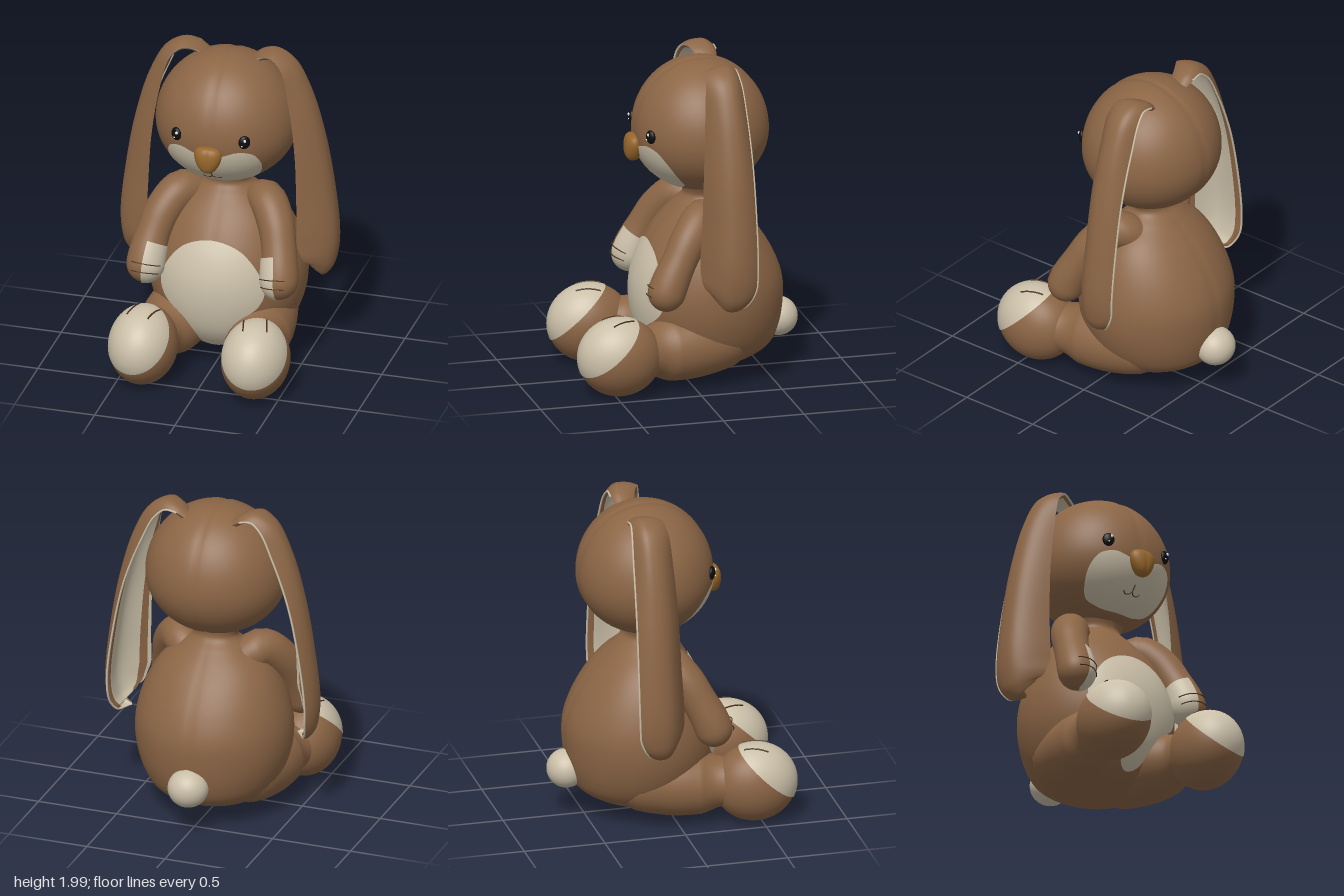
import * as THREE from 'three';
import { mergeVertices } from 'three/addons/utils/BufferGeometryUtils.js';

const V = (x, y, z) => new THREE.Vector3(x, y, z);
const spline = (pts) => new THREE.CatmullRomCurve3(pts.map((p) => V(...p)));

// Smooth surface from a rule fn(u, v) with u, v in 0..1
function grid(fn, nu, nv, flip = false) {
  const pos = [], idx = [];
  for (let i = 0; i <= nu; i++)
    for (let j = 0; j <= nv; j++) pos.push(...fn(i / nu, j / nv).toArray());
  for (let i = 0; i < nu; i++)
    for (let j = 0; j < nv; j++) {
      const a = i * (nv + 1) + j, b = a + nv + 1;
      if (flip) idx.push(a, a + 1, b, b, a + 1, b + 1);
      else idx.push(a, b, a + 1, b, b + 1, a + 1);
    }
  let geo = new THREE.BufferGeometry();
  geo.setAttribute('position', new THREE.Float32BufferAttribute(pos, 3));
  geo.setIndex(idx);
  geo = mergeVertices(geo, 1e-5);
  geo.computeVertexNormals();
  return geo;
}

function mirrored(geo) {
  const g = geo.clone().scale(-1, 1, 1), ix = g.index;
  for (let i = 0; i < ix.count; i += 3) {
    const a = ix.getX(i);
    ix.setX(i, ix.getX(i + 1));
    ix.setX(i + 1, a);
  }
  return g;
}

const ball = (rx, ry, rz, x, y, z, w = 32, h = 24) =>
  new THREE.SphereGeometry(1, w, h).scale(rx, ry, rz).translate(x, y, z);
const cord = (pts, r = 0.0035, n = 16) =>
  new THREE.TubeGeometry(new THREE.CatmullRomCurve3(pts), n, r, 6);
const seam = (x) => 1 - 0.014 * Math.exp(-((x / 0.022) ** 2));

// Front patch: half outline from top to bottom, mirrored and laid on a surface
function patch(half, cy, surfaceZ) {
  const pts = [...half, ...half.slice(1, -1).reverse().map(([x, y]) => [-x, y])];
  const c = new THREE.CatmullRomCurve3(pts.map(([x, y]) => V(x, y, 0)), true);
  return grid((u, v) => {
    const p = c.getPoint(v % 1), x = p.x * u, y = cy + (p.y - cy) * u;
    return V(x, y, surfaceZ(x, y) + 0.007);
  }, 24, 72, true);
}

// Tapered limb: points are [x, y, z, radius]; cap is the share rounded off at the end
function limb(points, cap) {
  const path = spline(points.map((p) => p.slice(0, 3)));
  const rad = spline(points.map((p) => [p[3], 0, 0]));
  return (t, a, grow = 0) => {
    const T = path.getTangent(t), N = V(1, 0, 0).addScaledVector(T, -T.x).normalize();
    const B = T.clone().cross(N), k = cap ? Math.max(0, (t - 1 + cap) / cap) : 0;
    const r = (rad.getPoint(t).x + grow) * Math.sqrt(Math.max(0, 1 - k * k));
    return path.getPoint(t).addScaledVector(T, grow * k)
      .addScaledVector(N, Math.cos(a) * r).addScaledVector(B, Math.sin(a) * r);
  };
}
const limbSkin = (f, t0 = 0, a0 = 0, a1 = Math.PI * 2, grow = 0) =>
  grid((u, v) => f(t0 + (1 - t0) * (1 - (1 - u) ** 2), a0 + (a1 - a0) * v, grow), 40, 36, true);

// Body sections: y, half width, front z, back z
const SECTIONS = [
  [0.07, 0.01, -0.15, -0.17], [0.085, 0.18, 0.0, -0.32], [0.13, 0.29, 0.12, -0.45],
  [0.2, 0.37, 0.2, -0.55], [0.3, 0.43, 0.26, -0.595], [0.45, 0.473, 0.295, -0.62],
  [0.6, 0.477, 0.295, -0.617], [0.75, 0.445, 0.255, -0.565], [0.9, 0.38, 0.175, -0.475],
  [1.0, 0.305, 0.1, -0.39], [1.08, 0.205, 0.03, -0.31], [1.14, 0.14, -0.02, -0.25],
  [1.19, 0.155, -0.01, -0.25], [1.26, 0.2, 0.03, -0.28]];
const bodyA = spline(SECTIONS.map(([y, r, f]) => [r, y, f]));
const bodyB = spline(SECTIONS.map(([y, , , b]) => [0, y, b]));
function bodyAt(t) {
  const a = bodyA.getPoint(t), b = bodyB.getPoint(t).z;
  return { y: a.y, rx: a.x, rz: (a.z - b) / 2, cz: (a.z + b) / 2 };
}
function bodyZ(x, y) {
  let lo = 0, hi = 1;
  for (let i = 0; i < 30; i++) {
    const m = (lo + hi) / 2;
    if (bodyAt(m).y < y) lo = m; else hi = m;
  }
  const s = bodyAt(lo);
  return s.cz + s.rz * Math.sqrt(Math.max(0, 1 - (x / s.rx) ** 2));
}

// Egg-shaped head, fuller below its centre
const HEAD = { y: 1.54, z: -0.125, rx: 0.431, up: 0.44, down: 0.372, rz: 0.412 };
const headRy = (dy) => (dy > 0 ? HEAD.up : HEAD.down);
const headZ = (x, y) => HEAD.z + HEAD.rz *
  Math.sqrt(Math.max(0, 1 - (x / HEAD.rx) ** 2 - ((y - HEAD.y) / headRy(y - HEAD.y)) ** 2));

// Ear stations: crest x, crest y, front z, back z, front edge drop, back edge drop
const EAR = [
  [0.13, 1.93, -0.15, -0.27, 0.02, 0.02], [0.2, 1.98, -0.13, -0.28, 0.02, 0.03],
  [0.29, 2.0, -0.09, -0.28, 0.025, 0.045], [0.4, 1.94, -0.065, -0.29, 0.06, 0.07],
  [0.5, 1.76, -0.05, -0.3, 0.11, 0.08], [0.59, 1.45, -0.03, -0.31, 0.15, 0.06],
  [0.65, 1.1, -0.015, -0.315, 0.19, 0.05], [0.677, 0.83, 0, -0.315, 0.21, 0.045],
  [0.67, 0.7, -0.005, -0.31, 0.18, 0.04], [0.645, 0.605, -0.04, -0.275, 0.13, 0.03],
  [0.595, 0.552, -0.08, -0.23, 0.07, 0.02], [0.535, 0.575, -0.14, -0.17, 0.01, 0.01]];
const earPath = spline(EAR.map((e) => [e[0], e[1], 0]));
const earZ = spline(EAR.map((e) => [e[2], e[3], 0]));
const earDrop = spline(EAR.map((e) => [e[4], e[5], 0]));
function earPoint(t, v, depth) {
  const p = earPath.getPoint(t), T = earPath.getTangent(t), z = earZ.getPoint(t), d = earDrop.getPoint(t);
  let off = v < 0.6 ? -d.x * ((0.6 - v) / 0.6) ** 2.5 : -d.y * ((v - 0.6) / 0.4) ** 2.2;
  off -= depth * (1 - (2 * v - 1) ** 4) * Math.min(1, (1 - t) * 8);
  return V(p.x - T.y * off, p.y + T.x * off, z.x + (z.y - z.x) * v);
}
const earSkin = (depth, v0, v1, n, flip) =>
  grid((u, v) => earPoint(u, v0 + (v1 - v0) * v, depth), 80, n, flip);

export function createModel() {
  const model = new THREE.Group();
  model.name = 'plushRabbit';
  const mat = (name, color) => new THREE.MeshStandardMaterial({ name, color });
  const fur = mat('brown fur', 0x8b6545), cream = mat('cream plush', 0xcabfa8);
  const noseMat = mat('ochre nose', 0x96662a), thread = mat('dark thread', 0x4a2f1a);
  const black = mat('black eye', 0x0d0d0d), white = mat('white glint', 0xf2f2f2);
  const add = (name, geo, m) => {
    const mesh = new THREE.Mesh(geo, m);
    mesh.name = name;
    model.add(mesh);
  };
  const pair = (name, geo, m) => {
    add(name + 'Left', geo, m);
    add(name + 'Right', mirrored(geo), m);
  };

  // Body, belly and tail
  add('body', grid((u, v) => {
    const s = bodyAt(u), a = v * Math.PI * 2, x = s.rx * Math.sin(a);
    return V(x, s.y, s.cz + s.rz * Math.cos(a) * seam(x));
  }, 90, 96, true), fur);
  add('bellyPatch', patch([[0, 0.865], [0.17, 0.815], [0.28, 0.69], [0.325, 0.56], [0.29, 0.46],
    [0.18, 0.37], [0.1, 0.26], [0.065, 0.165], [0, 0.135]], 0.5, bodyZ), cream);
  add('tail', ball(0.124, 0.118, 0.118, 0, 0.31, -0.61), cream);

  // Head with muzzle, nose, mouth and eyes
  add('head', grid((u, v) => {
    const th = u * Math.PI, a = v * Math.PI * 2, c = Math.cos(th);
    const x = HEAD.rx * Math.sin(th) * Math.sin(a), k = seam(x);
    return V(x, HEAD.y + headRy(c) * c * k, HEAD.z + HEAD.rz * Math.sin(th) * Math.cos(a) * k);
  }, 64, 96), fur);
  add('muzzlePatch', patch([[0, 1.45], [0.08, 1.475], [0.18, 1.503], [0.26, 1.475], [0.29, 1.38],
    [0.24, 1.265], [0.13, 1.215], [0, 1.205]], 1.35, headZ), cream);
  add('nose', grid((u, v) => {
    const th = u * Math.PI, a = v * Math.PI * 2, y = Math.cos(th), s = Math.sin(th) ** 0.65;
    const x = s * Math.sin(a) * (1 + 0.3 * y);
    return V(x * 0.08, 1.45 + y * 0.083, 0.292 + 0.055 * s * Math.cos(a)
      * (1 - 0.12 * Math.exp(-((x / 0.12) ** 2))));
  }, 24, 40), noseMat);
  const onHead = (x, y) => V(x, y, headZ(x, y) + 0.008);
  add('mouthLine', cord([onHead(0, 1.335), onHead(0, 1.315), onHead(0, 1.295)]), thread);
  pair('mouthCurve', cord([onHead(0, 1.297), onHead(0.02, 1.284), onHead(0.045, 1.285),
    onHead(0.058, 1.298)]), thread);
  const eyeZ = headZ(0.21, 1.57);
  pair('eye', ball(0.036, 0.042, 0.02, 0, 0, 0).rotateY(0.5).translate(0.212, 1.57, eyeZ + 0.004), black);
  for (const s of [1, -1]) {
    add('eyeGlint', ball(0.009, 0.01, 0.006, s * 0.212 + 0.008, 1.587, eyeZ + 0.026 - s * 0.003, 12, 8), white);
    add('eyeGlintSmall', ball(0.005, 0.005, 0.006, s * 0.212 - 0.008, 1.553, eyeZ + 0.025 + s * 0.003, 10, 8), white);
  }

  // Drooping ears: furry outside, cream lining with a brown hem and cream piping
  pair('earOuter', earSkin(0, 0, 1, 28, false), fur);
  pair('earLining', earSkin(0.05, 0.13, 0.87, 20, true), cream);
  for (const [name, v0, v1, m] of [['earPipingFront', 0, 0.04, cream], ['earHemFront', 0.04, 0.13, fur],
    ['earHemBack', 0.87, 1, fur]])
    pair(name, earSkin(0.05, v0, v1, 4, true), m);
  const rim = [];
  for (let i = 3; i <= 40; i++) rim.push(earPoint(i / 40, 1, 0));
  pair('earPipingBack', cord(rim, 0.0065, 80), cream);

  // Arms with paw patches and finger stitches
  const arm = limb([[0.15, 0.97, -0.16, 0.1], [0.26, 1.05, -0.07, 0.115], [0.345, 0.96, 0.03, 0.112],
    [0.39, 0.83, 0.11, 0.106], [0.415, 0.69, 0.18, 0.114], [0.425, 0.542, 0.23, 0.116]], 0.16);
  pair('arm', limbSkin(arm), fur);
  pair('pawPatch', limbSkin(arm, 0.68, 1.65, 4.2, 0.006), cream);
  for (const t of [0.84, 0.9])
    pair('fingerStitch', cord([1.05, 1.45, 1.85, 2.25, 2.65].map((a) => arm(t, a, 0.008))), thread);

  // Legs and feet with sole patches and toe stitches
  pair('leg', limbSkin(limb([[0.15, 0.33, -0.42, 0.09], [0.22, 0.285, -0.2, 0.195], [0.252, 0.26, 0, 0.205],
    [0.272, 0.252, 0.15, 0.197], [0.31, 0.255, 0.28, 0.153], [0.345, 0.25, 0.42, 0.16]], 0)), fur);
  pair('foot', ball(0.205, 0.24, 0.255, 0.35, 0.25, 0.468, 48, 32), fur);
  pair('footPatch', new THREE.SphereGeometry(1, 48, 24, 0, Math.PI * 2, 0, 1.18).rotateX(Math.PI / 4)
    .rotateY(0.2).scale(0.21, 0.245, 0.26).translate(0.35, 0.25, 0.468), cream);
  const onFoot = (x, z) => V(x, 0.252 + 0.245 *
    Math.sqrt(1 - ((x - 0.35) / 0.21) ** 2 - ((z - 0.468) / 0.26) ** 2), z);
  for (const [x0, z0, x1, z1] of [[0.395, 0.39, 0.437, 0.53], [0.262, 0.42, 0.298, 0.565]])
    pair('toeStitch', cord([0, 0.25, 0.5, 0.75, 1].map((k) =>
      onFoot(x0 + (x1 - x0) * k, z0 + (z1 - z0) * k)), 0.005), thread);

  return model;
}
